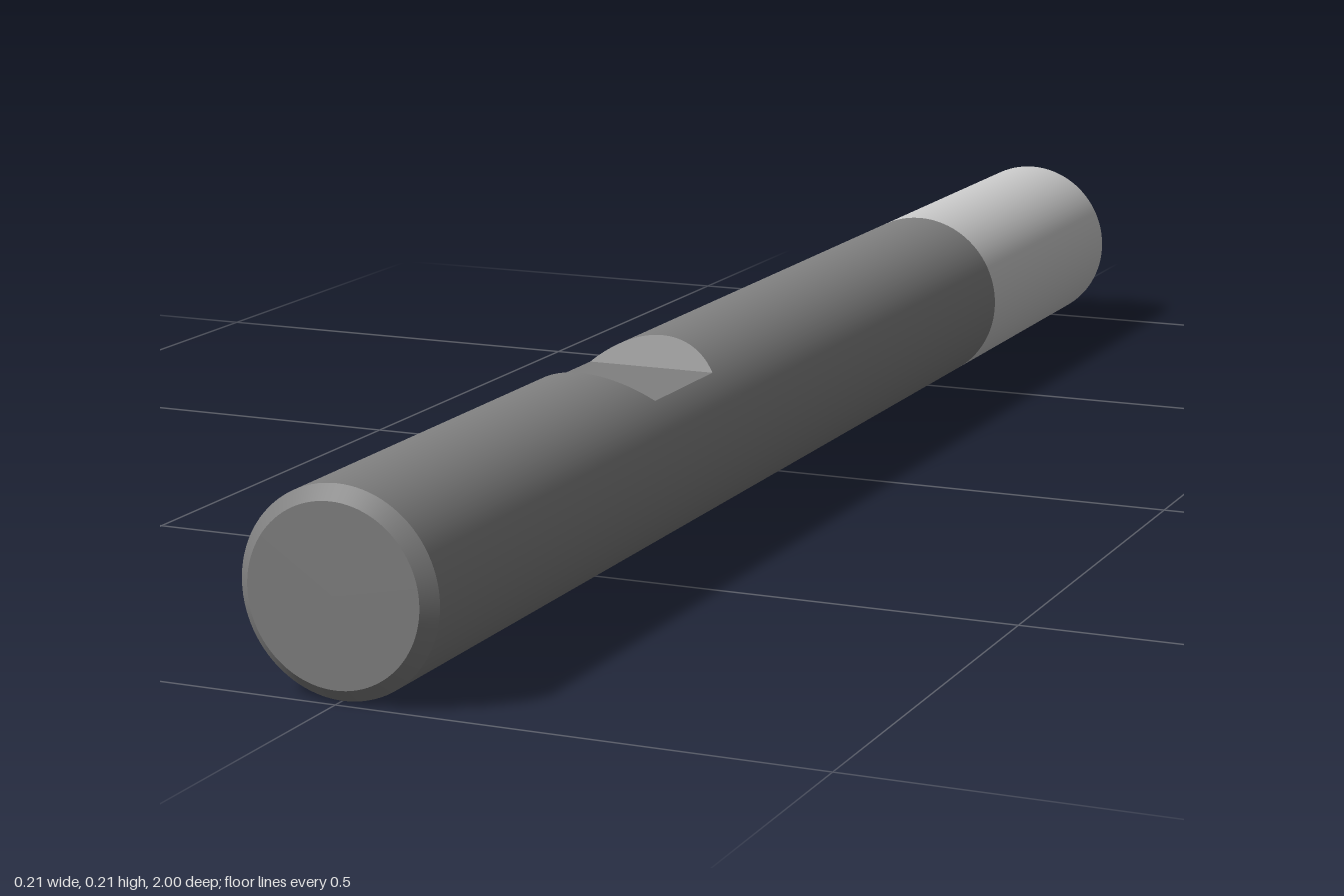
import * as THREE from 'three';

const R = 0.105, SEGMENTS = 96;
const NOTCH = { front: 0.47, back: 0.26, depth: 0.03 };

// Surface through rows of points; rows run front to back, points left to right
function sheet(rows) {
  const n = rows[0].length, index = [];
  for (let j = 0; j < rows.length - 1; j++) {
    for (let i = 0; i < n - 1; i++) {
      const a = j * n + i, b = a + 1, c = a + n, d = c + 1;
      index.push(a, b, c, b, d, c);
    }
  }
  const geo = new THREE.BufferGeometry();
  geo.setAttribute('position', new THREE.Float32BufferAttribute(rows.flat(2), 3));
  geo.setIndex(index);
  geo.computeVertexNormals();
  return geo;
}

// Open round section along z
function section(zFront, zBack, rFront = R, rBack = R) {
  return new THREE.CylinderGeometry(rFront, rBack, zFront - zBack, SEGMENTS, 1, true)
    .rotateX(Math.PI / 2)
    .translate(0, 0, (zFront + zBack) / 2);
}

export function createModel() {
  const model = new THREE.Group();
  const dark = new THREE.MeshStandardMaterial({ color: 0x808080 });
  const light = new THREE.MeshStandardMaterial({ color: 0xcccccc });
  const shank = new THREE.Group();
  const tip = new THREE.Group();
  shank.name = 'shank';
  tip.name = 'lightEnd';
  model.add(shank, tip);

  const add = (group, name, geo, material) => {
    const mesh = new THREE.Mesh(geo, material);
    mesh.name = name;
    group.add(mesh);
  };

  // Shank with a chamfered front end
  add(shank, 'frontFace', new THREE.CircleGeometry(0.091, SEGMENTS).translate(0, 0, 1), dark);
  add(shank, 'frontChamfer', section(1, 0.986, 0.091, R), dark);
  add(shank, 'frontShank', section(0.986, NOTCH.front), dark);
  add(shank, 'rearShank', section(NOTCH.back, -0.545), dark);

  // Stations along the notch: half-angle of the cut and its position on the 45 degree ramps
  const steps = 20, maxAngle = Math.acos(1 - NOTCH.depth / R);
  const frontRamp = [], backRamp = [];
  for (let k = 0; k <= steps; k++) {
    const angle = maxAngle * k / steps, drop = R * (1 - Math.cos(angle));
    frontRamp.push({ angle, z: NOTCH.front - drop });
    backRamp.unshift({ angle, z: NOTCH.back + drop });
  }

  // Round wall below the notch, with exact radial normals
  const wall = sheet([...frontRamp, ...backRamp].map(({ angle, z }) =>
    Array.from({ length: SEGMENTS + 1 }, (_, i) => {
      const t = angle + (2 * Math.PI - 2 * angle) * i / SEGMENTS;
      return [R * Math.sin(t), R * Math.cos(t), z];
    })));
  const p = wall.attributes.position;
  for (let i = 0; i < p.count; i++) wall.attributes.normal.setXYZ(i, p.getX(i) / R, p.getY(i) / R, 0);
  add(shank, 'notchWall', wall, dark);

  // Flat notch floor and its two ramps
  const chords = stations => sheet(stations.map(({ angle, z }) => {
    const x = R * Math.sin(angle), y = R * Math.cos(angle);
    return [[-x, y, z], [x, y, z]];
  }));
  add(shank, 'notchFrontRamp', chords(frontRamp), dark);
  add(shank, 'notchFloor', chords([frontRamp[steps], backRamp[0]]), dark);
  add(shank, 'notchBackRamp', chords(backRamp), dark);

  // Light rear end with a fine chamfer
  add(tip, 'rearSleeve', section(-0.545, -0.995), light);
  add(tip, 'rearChamfer', section(-0.995, -1, R, 0.1), light);
  add(tip, 'rearFace', new THREE.CircleGeometry(0.1, SEGMENTS).rotateY(Math.PI).translate(0, 0, -1), light);

  shank.position.y = tip.position.y = R;
  return model;
}
